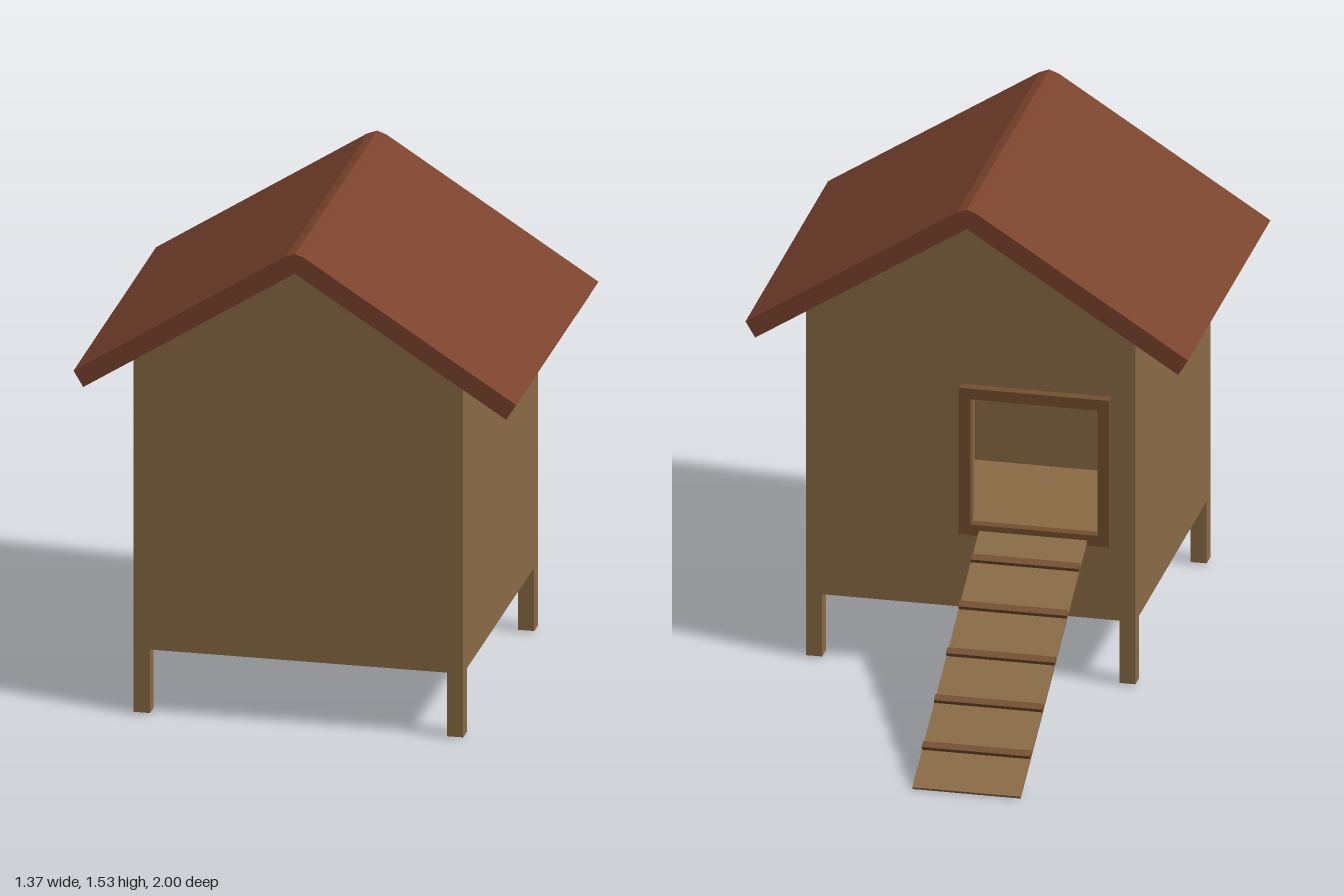
import * as THREE from 'three';

const material = (color) => new THREE.MeshStandardMaterial({ color, flatShading: true });

export function createModel() {
  const wood = material(0x8b6b45);
  const trim = material(0x75502f);
  const red = material(0x7a432d);
  const model = new THREE.Group();
  model.name = 'henHouse';

  const add = (name, geometry, mat, parent = model) => {
    const mesh = new THREE.Mesh(geometry, mat);
    mesh.name = name;
    parent.add(mesh);
    return mesh;
  };
  const box = (name, [x0, x1], [y0, y1], [z0, z1], mat) => {
    const g = new THREE.BoxGeometry(x1 - x0, y1 - y0, z1 - z0);
    g.translate((x0 + x1) / 2, (y0 + y1) / 2, (z0 + z1) / 2);
    return add(name, g, mat);
  };
  const outline = (points) => new THREE.Shape(points.map(([x, y]) => new THREE.Vector2(x, y)));
  const rect = (x0, x1, y0, y1) => outline([[x0, y0], [x1, y0], [x1, y1], [x0, y1]]);
  // Extrudes an xy outline between two z positions
  const extrude = (name, shape, z0, z1, mat) => {
    const g = new THREE.ExtrudeGeometry(shape, { depth: z1 - z0, bevelEnabled: false });
    g.translate(0, 0, z0);
    return add(name, g, mat);
  };

  const W = 0.51, T = 0.03, BASE = 0.21, EAVE = 1.145, PEAK = 1.465;
  const BACK = -0.065, FRONT = 0.95, LEG = 0.05;
  const slope = (PEAK - EAVE) / W;
  const gable = () => outline([[-W, BASE], [W, BASE], [W, EAVE], [0, PEAK], [-W, EAVE]]);
  const door = [-0.4, -0.005, 0.495, 0.905];

  // Hollow body with a doorway in the back gable
  extrude('frontWall', gable(), FRONT - T, FRONT, wood);
  const backShape = gable();
  backShape.holes.push(rect(...door));
  extrude('backWall', backShape, BACK, BACK + T, wood);
  for (const s of [1, -1]) {
    const side = outline([
      [s * (W - T), BASE], [s * W, BASE], [s * W, EAVE], [s * (W - T), EAVE + T * slope],
    ]);
    extrude(s > 0 ? 'leftWall' : 'rightWall', side, BACK + T, FRONT - T, wood);
  }
  box('floor', [-W + T, W - T], [BASE, 0.27], [BACK + T, FRONT - T], wood);

  // Corner legs
  for (const x of [-W, W - LEG]) {
    for (const z of [BACK, FRONT - LEG]) {
      box('leg', [x, x + LEG], [0.006, BASE], [z, z + LEG], wood);
    }
  }

  // Gabled roof slab with a slightly blunted ridge
  const half = [[0.03, 1.524], [0.685, 1.105], [0.655, 1.055]];
  const mirrored = half.map(([x, y]) => [-x, y]).reverse();
  extrude('roof', outline([[0, 1.535], ...half, [0, 1.472], ...mirrored]), -0.12, 1, red);

  // Door frame standing proud of the back wall
  const frame = rect(-0.435, 0.03, 0.46, 0.94);
  frame.holes.push(rect(...door));
  extrude('doorFrame', frame, -0.097, BACK, trim);

  // Ramp, laid along its local z and tilted down to the ground
  const top = new THREE.Vector2(-0.09, 0.476), foot = new THREE.Vector2(-0.998, 0.004);
  const run = top.x - foot.x, drop = top.y - foot.y;
  const length = Math.hypot(run, drop);
  const ramp = new THREE.Group();
  ramp.name = 'ramp';
  ramp.position.set(-0.2, top.y, top.x);
  ramp.rotation.x = -Math.atan2(drop, run);
  model.add(ramp);
  add('rampBoard', new THREE.BoxGeometry(0.335, 0.008, length), wood, ramp).position.z = -length / 2;
  for (let i = 0; i < 5; i++) {
    const z = -0.195 - i * 0.165;
    const slat = add('rampSlat', new THREE.BoxGeometry(0.335, 0.014, 0.024), trim, ramp);
    slat.position.set(0, 0.01, ((z - top.x) / run) * length);
  }

  return model;
}
